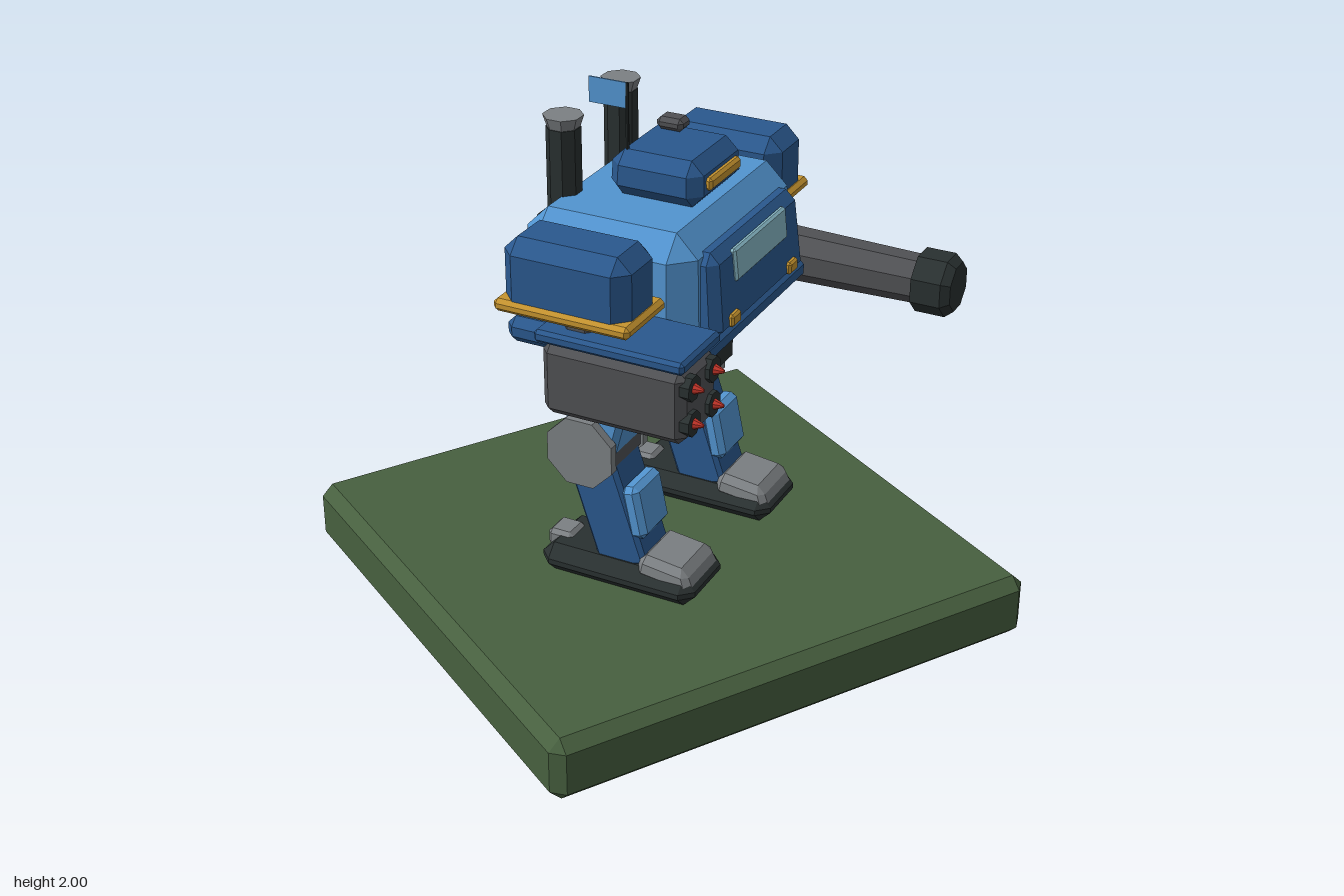
import * as THREE from 'three';
import { ConvexGeometry } from 'three/addons/geometries/ConvexGeometry.js';

const paint = (name, color) => {
  const m = new THREE.MeshStandardMaterial({ color, flatShading: true });
  m.name = name;
  return m;
};

// Box with cut edges; the top can be scaled in x and z and shifted in z
function chamferBox(w, h, d, c, topX = 1, topZ = 1, shiftZ = 0) {
  const pts = [];
  for (const sx of [-1, 1]) for (const sy of [-1, 1]) for (const sz of [-1, 1])
    for (const [a, b, e] of [[0, c, c], [c, 0, c], [c, c, 0]]) {
      const y = sy * (h / 2 - b), t = y / h + 0.5;
      pts.push(new THREE.Vector3(
        sx * (w / 2 - a) * (1 + (topX - 1) * t), y,
        sz * (d / 2 - e) * (1 + (topZ - 1) * t) + shiftZ * t));
    }
  return new ConvexGeometry(pts);
}

// Eight-sided cylinder along the x, y or z axis
function octagon(rTop, rBottom, length, axis = 'y') {
  const g = new THREE.CylinderGeometry(rTop, rBottom, length, 8);
  g.rotateY(Math.PI / 8);
  if (axis === 'x') g.rotateZ(-Math.PI / 2);
  if (axis === 'z') g.rotateX(Math.PI / 2);
  return g;
}

export function createModel() {
  const lightBlue = paint('lightBlue', 0x5294d0);
  const darkBlue = paint('darkBlue', 0x2a588e);
  const green = paint('baseGreen', 0x47603f);
  const gunmetal = paint('gunmetal', 0x505154);
  const black = paint('nearBlack', 0x293030);
  const steel = paint('steel', 0x7c8083);
  const amber = paint('amber', 0xc6942f);
  const red = paint('red', 0xc23428);
  const glass = paint('glass', 0x86b6c4);

  const model = new THREE.Group();
  const robot = new THREE.Group();
  robot.name = 'robot';
  robot.position.x = -0.05;
  robot.rotation.y = THREE.MathUtils.degToRad(32);
  model.add(robot);

  const add = (name, geometry, material, x, y, z, rotX = 0, parent = robot) => {
    const mesh = new THREE.Mesh(geometry, material);
    mesh.name = name;
    mesh.position.set(x, y, z);
    mesh.rotation.x = rotX;
    parent.add(mesh);
    return mesh;
  };

  add('base', chamferBox(1.9, 0.24, 1.9, 0.042), green, -0.05, 0.12, 0, 0, model);

  // Torso
  add('torso', chamferBox(0.88, 0.42, 0.66, 0.08, 0.95, 0.95), lightBlue, 0, 1.4, 0);
  add('skirt', chamferBox(0.93, 0.095, 0.7, 0.03), darkBlue, 0, 1.182, 0);
  add('hatch', chamferBox(0.69, 0.3, 0.18, 0.035, 0.95, 0.9, -0.02), darkBlue, 0, 1.39, 0.305);
  add('window', chamferBox(0.4, 0.115, 0.025, 0.008), glass, 0, 1.463, 0.372, -0.1);
  add('pelvis', chamferBox(0.6, 0.15, 0.36, 0.04), gunmetal, 0, 1.065, 0);
  add('pelvisBlock', chamferBox(0.16, 0.13, 0.1, 0.015), black, 0, 1.035, 0.2);

  // Head with visor, sensor, antenna and flag
  add('head', chamferBox(0.36, 0.16, 0.35, 0.045, 0.95, 0.95), darkBlue, 0, 1.69, 0.06);
  add('visor', chamferBox(0.23, 0.045, 0.03, 0.01), amber, 0, 1.69, 0.235);
  add('sensor', chamferBox(0.075, 0.045, 0.1, 0.015), gunmetal, 0.1, 1.795, 0);
  add('antenna', octagon(0.006, 0.006, 0.32), black, -0.125, 1.84, -0.055);
  add('flag', new THREE.BoxGeometry(0.006, 0.09, 0.14), lightBlue, -0.125, 1.955, -0.127);

  for (const s of [-1, 1]) {
    // Exhausts, vents and lamps
    add('exhaust', octagon(0.06, 0.06, 0.3), black, s * 0.2, 1.69, -0.255);
    add('exhaustRim', octagon(0.07, 0.055, 0.045), steel, s * 0.2, 1.858, -0.255);
    add('vent', chamferBox(0.09, 0.24, 0.04, 0.01), black, s * 0.2, 1.405, -0.325);
    add('lamp', chamferBox(0.065, 0.045, 0.03, 0.008), amber, s * 0.227, 1.29, 0.39);

    // Shoulders
    add('shoulder', chamferBox(0.24, 0.275, 0.46, 0.05), darkBlue, s * 0.565, 1.495, 0);
    add('shoulderTrim', chamferBox(0.265, 0.045, 0.495, 0.014), amber, s * 0.565, 1.4, 0);
    add('upperArm', octagon(0.085, 0.085, 0.2), gunmetal, s * 0.565, 1.3, 0.03);

    // Legs
    const leg = new THREE.Group();
    leg.name = s < 0 ? 'rightLeg' : 'leftLeg';
    leg.position.x = s * 0.31;
    robot.add(leg);
    const part = (n, g, m, x, y, z, r) => add(n, g, m, x, y, z, r, leg);
    part('hip', octagon(0.105, 0.105, 0.24, 'x'), steel, 0, 1.07, -0.02);
    part('thigh', chamferBox(0.2, 0.36, 0.21, 0.02), lightBlue, 0, 0.92, -0.035, 0.26);
    part('knee', octagon(0.125, 0.125, 0.21, 'x'), gunmetal, 0, 0.76, -0.083);
    for (const e of [-1, 1])
      part('kneeDisc', octagon(0.135, 0.135, 0.035, 'x'), steel, e * 0.115, 0.76, -0.083);
    part('shin', chamferBox(0.19, 0.46, 0.19, 0.015), darkBlue, 0, 0.54, -0.01, -0.32);
    part('shinPlate', chamferBox(0.19, 0.2, 0.07, 0.02), lightBlue, 0, 0.545, 0.1, -0.2);
    part('foot', chamferBox(0.29, 0.11, 0.6, 0.045), black, 0, 0.296, 0.045);
    part('toe', chamferBox(0.25, 0.085, 0.23, 0.025, 0.9, 0.75, -0.02), steel, 0, 0.345, 0.235, 0.12);
    part('heel', chamferBox(0.11, 0.07, 0.1, 0.015), steel, 0, 0.33, -0.215);
  }

  // Missile pod on the right arm
  add('missilePod', chamferBox(0.25, 0.26, 0.52, 0.03), gunmetal, -0.56, 1.165, 0.175);
  add('podCover', chamferBox(0.275, 0.045, 0.54, 0.012), darkBlue, -0.56, 1.322, 0.17);
  for (const i of [-1, 1]) for (const j of [-1, 1]) {
    const x = -0.56 + i * 0.073, y = 1.172 + j * 0.063;
    add('missileTube', octagon(0.045, 0.045, 0.04, 'z'), black, x, y, 0.43);
    add('missileTip', octagon(0.006, 0.02, 0.035, 'z'), red, x, y, 0.465);
  }

  // Cannon on the left arm
  add('cannonHousing', chamferBox(0.23, 0.22, 0.35, 0.035), gunmetal, 0.565, 1.175, 0.055);
  add('cannonBarrel', octagon(0.088, 0.1, 0.56, 'z'), gunmetal, 0.565, 1.172, 0.49);
  add('cannonMuzzle', octagon(0.115, 0.115, 0.11, 'z'), black, 0.565, 1.172, 0.8);
  add('cannonMuzzleFront', octagon(0.09, 0.115, 0.03, 'z'), black, 0.565, 1.172, 0.87);

  return model;
}
